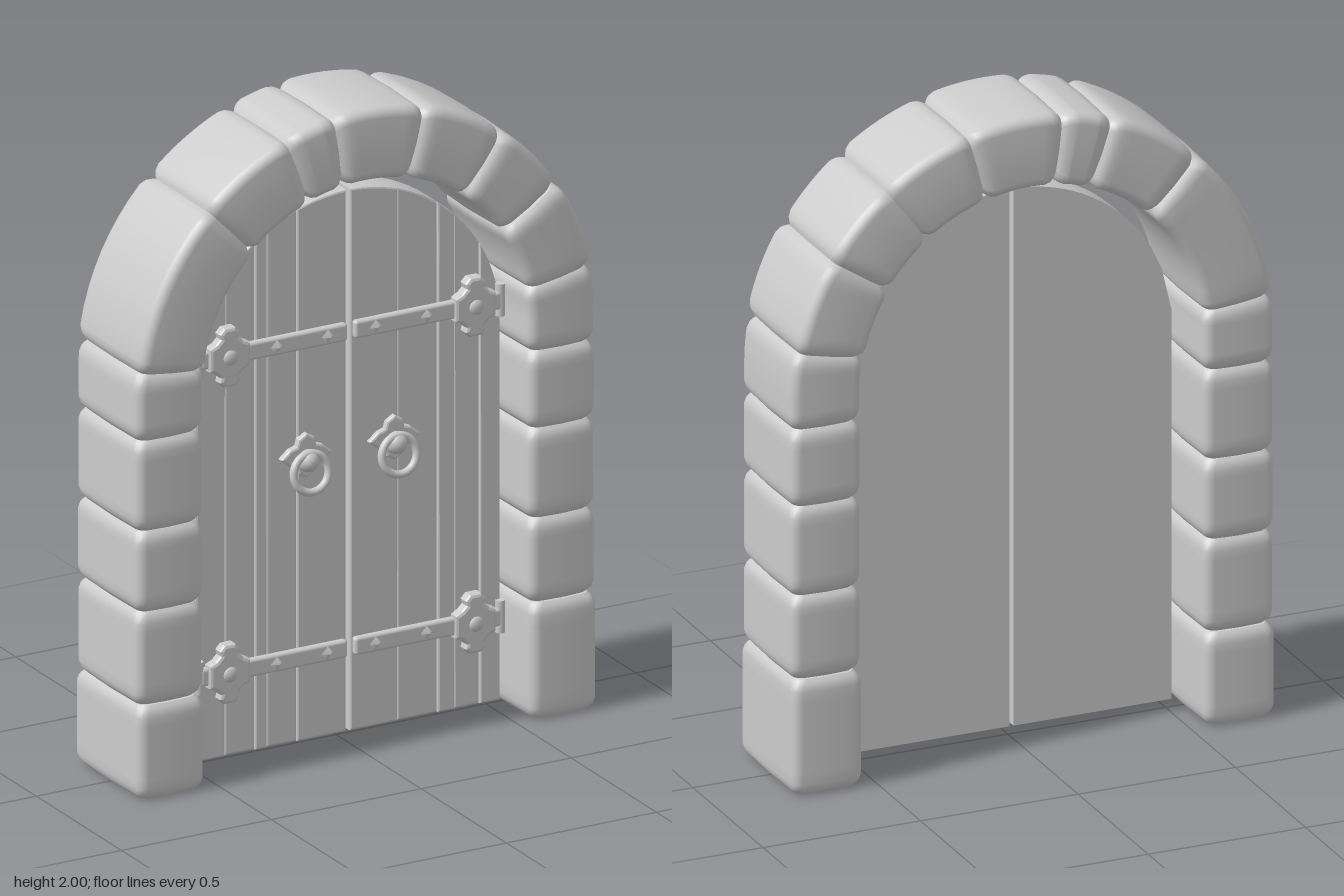
import * as THREE from 'three';
import { RoundedBoxGeometry } from 'three/addons/geometries/RoundedBoxGeometry.js';

const grey = new THREE.MeshStandardMaterial({ color: 0xcccccc });
grey.name = 'plain grey';

function add(parent, name, geometry, x = 0, y = 0, z = 0) {
  const mesh = new THREE.Mesh(geometry, grey);
  mesh.name = name;
  mesh.position.set(x, y, z);
  parent.add(mesh);
  return mesh;
}

// Extruded outline whose bevel stays inside the outline; the back lies on z = 0
function plate(points, depth, bevel) {
  const shape = new THREE.Shape(points.map(([x, y]) => new THREE.Vector2(x, y)));
  return new THREE.ExtrudeGeometry(shape, {
    depth: depth - bevel, bevelThickness: bevel, bevelSize: bevel,
    bevelOffset: -bevel, bevelSegments: 2, bevelEnabled: bevel > 0,
  });
}

// ---- Stone arch: centre line runs up the left, over, and down the right ----
const SPRING = 1.235, MID = 0.655, HALF_W = 0.115;
const ARC = Math.PI * MID, TOTAL = 2 * SPRING + ARC;

function path(s) {
  if (s < SPRING) return { x: -MID, y: s, nx: -1, ny: 0 };
  if (s > SPRING + ARC) return { x: MID, y: TOTAL - s, nx: 1, ny: 0 };
  const a = Math.PI - (s - SPRING) / MID;
  const nx = Math.cos(a), ny = Math.sin(a);
  return { x: nx * MID, y: SPRING + ny * MID, nx, ny };
}

// Rounded, slightly bulging rectangle as [outward, z] pairs
function section(hw, hd) {
  const r = 0.03, pts = [];
  [[1, 1], [-1, 1], [-1, -1], [1, -1]].forEach(([su, sz], q) => {
    for (let k = 0; k <= 4; k++) {
      const a = (q + k / 4) * Math.PI / 2;
      pts.push([su * (hw - r - 0.004) + r * Math.cos(a), sz * (hd - r - 0.004) + r * Math.sin(a)]);
    }
    pts.push([[0, hd], [-hw, 0], [0, -hd], [hw, 0]][q]);
  });
  return pts;
}

function stone(s0, s1, halfDepth) {
  const len = s1 - s0, edge = 0.035, pos = [], idx = [];
  const dist = [0, 0.008, 0.018, edge];
  for (let k = 1; k < 8; k++) dist.push(edge + (len - 2 * edge) * k / 8);
  dist.push(len - edge, len - 0.018, len - 0.008, len);
  const rings = dist.map((d) => {
    const p = path(s0 + d);
    const inset = 0.018 * Math.max(0, 1 - Math.min(d, len - d) / edge) ** 2;
    return section(HALF_W - inset, halfDepth - inset)
      .map(([u, z]) => [p.x + p.nx * u, p.y + p.ny * u, z]);
  });
  const n = rings[0].length;
  rings.forEach((ring) => ring.forEach((v) => pos.push(...v)));
  for (let i = 0; i < rings.length - 1; i++) {
    for (let j = 0; j < n; j++) {
      const a = i * n + j, b = i * n + (j + 1) % n;
      idx.push(a, b, b + n, a, b + n, a + n);
    }
  }
  // End caps
  [[rings[0], s0, true], [rings[rings.length - 1], s1, false]].forEach(([ring, s, flip]) => {
    const base = pos.length / 3, p = path(s);
    pos.push(p.x, p.y, 0);
    ring.forEach((v) => pos.push(...v));
    for (let j = 0; j < n; j++) {
      const a = base + 1 + j, b = base + 1 + (j + 1) % n;
      idx.push(base, flip ? b : a, flip ? a : b);
    }
  });
  const g = new THREE.BufferGeometry();
  g.setAttribute('position', new THREE.Float32BufferAttribute(pos, 3));
  g.setIndex(idx);
  g.computeVertexNormals();
  return g;
}

function buildArch() {
  const arch = new THREE.Group();
  arch.name = 'stoneArch';
  const joints = [0, 0.29, 0.58, 0.83, 1.11,
    ...[173.5, 133.6, 110, 97.6, 74.8, 52.8, 33.2, 11].map((a) => SPRING + (180 - a) * Math.PI / 180 * MID),
    ...[1.14, 0.9, 0.62, 0.36, 0].map((y) => TOTAL - y)];
  const depths = [0.2, 0.19, 0.193, 0.19, 0.19, 0.198, 0.19, 0.188, 0.19, 0.188, 0.19, 0.2, 0.188, 0.19, 0.188, 0.19, 0.2];
  for (let i = 0; i < joints.length - 1; i++) {
    add(arch, 'archStone', stone(joints[i], joints[i + 1], depths[i]));
  }
  return arch;
}

// ---- Door leaves ----
const DOOR_R = 0.51, DOOR_Y = 1.21, SILL = 0.035, FRONT = 0.07;

// Vertical board between two x positions, its top following the door's arc
function board(x0, x1, depth, bevel) {
  const pts = [[x0, SILL], [x1, SILL]];
  for (let k = 0; k <= 16; k++) {
    const x = x1 + (x0 - x1) * k / 16;
    pts.push([x, DOOR_Y + Math.sqrt(Math.max(0, DOOR_R ** 2 - x * x))]);
  }
  return plate(pts, depth, bevel);
}

function buildLeaf(side, splits) {
  const leaf = new THREE.Group();
  leaf.name = side > 0 ? 'leftDoor' : 'rightDoor';
  const span = (a, b) => (side > 0 ? [a, b] : [-b, -a]);
  add(leaf, 'doorBacking', board(...span(0.006, 0.508), 0.075, 0), 0, 0, -0.025);
  for (let i = 0; i < splits.length - 1; i++) {
    add(leaf, 'plank', board(...span(splits[i], splits[i + 1]), i % 2 ? 0.018 : 0.022, 0.006), 0, 0, 0.05);
  }
  return leaf;
}

// ---- Ironwork ----
function buildHinge(side, y) {
  const hinge = new THREE.Group();
  hinge.name = 'hinge';
  hinge.position.set(0, y, FRONT);
  add(hinge, 'strap', new RoundedBoxGeometry(0.49, 0.056, 0.026, 2, 0.01), side * 0.257, 0, 0.01);
  // Lobed plate with a raised boss
  const quarter = [[0.068, 0.035], [0.045, 0.045], [0.03, 0.06], [0.034, 0.075], [0.018, 0.092]];
  const mirror = (sx, sy) => quarter.map(([px, py]) => [px * sx, py * sy]);
  const outline = [...mirror(1, 1), ...mirror(-1, 1).reverse(), ...mirror(-1, -1), ...mirror(1, -1).reverse()];
  add(hinge, 'hingePlate', plate(outline, 0.034, 0.01), side * 0.41, 0, 0);
  add(hinge, 'hingeBoss', new THREE.SphereGeometry(0.026, 16, 10), side * 0.41, 0, 0.028).scale.z = 0.6;
  add(hinge, 'hingeBarrel', new THREE.CylinderGeometry(0.015, 0.015, 0.1, 16), side * 0.503, 0, 0.008);
  // Diamond studs
  for (const x of [0.08, 0.25]) {
    const stud = new THREE.ConeGeometry(0.022, 0.014, 4);
    stud.rotateX(Math.PI / 2);
    add(hinge, 'stud', stud, side * x, 0, 0.029);
  }
  return hinge;
}

function buildHandle(x) {
  const handle = new THREE.Group();
  handle.name = 'handle';
  handle.position.set(x, 0.925, FRONT);
  // Four pointed leaves
  const pts = [];
  for (let q = 0; q < 4; q++) {
    const tip = q % 2 ? 0.07 : 0.085;
    for (const [r, o] of [[tip, 0], [0.06, 0.45], [0.046, Math.PI / 4], [0.06, Math.PI / 2 - 0.45]]) {
      const a = q * Math.PI / 2 + o;
      pts.push([r * Math.cos(a), r * Math.sin(a)]);
    }
  }
  add(handle, 'handlePlate', plate(pts, 0.02, 0.007));
  add(handle, 'handleKnob', new THREE.SphereGeometry(0.034, 20, 14), 0, -0.012, 0.025);
  const ring = add(handle, 'handleRing', new THREE.TorusGeometry(0.058, 0.012, 10, 32), 0, -0.045, 0.042);
  ring.rotation.x = -0.15;
  return handle;
}

export function createModel() {
  const model = new THREE.Group();
  model.name = 'archedDoorway';
  model.add(buildArch());
  model.add(buildLeaf(1, [0.006, 0.165, 0.3, 0.355, 0.44, 0.508]));
  model.add(buildLeaf(-1, [0.006, 0.17, 0.27, 0.31, 0.41, 0.508]));
  for (const side of [-1, 1]) {
    for (const y of [0.3, 1.285]) model.add(buildHinge(side, y));
    model.add(buildHandle(side * 0.147));
  }
  return model;
}
